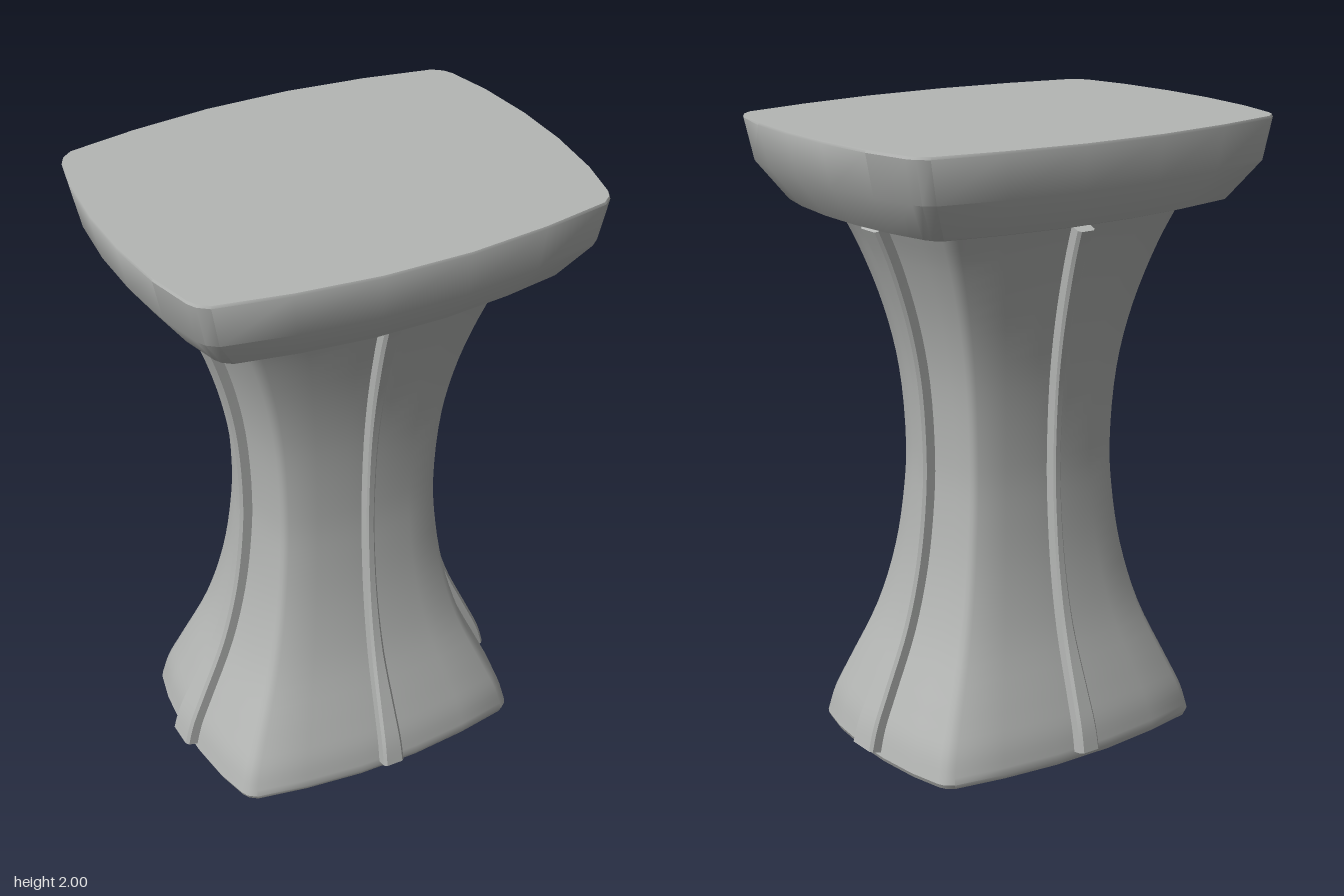
import * as THREE from 'three';
import { toCreasedNormals } from 'three/addons/utils/BufferGeometryUtils.js';

// One quarter of the bowed rectangle, in units of half width and half depth
const QUARTER = [[1, 0.17], [0.972, 0.52], [0.925, 0.78], [0.905, 0.83], [0.86, 0.875], [0.552, 0.95], [0.193, 1]];
const mirrored = [...QUARTER].reverse();
const OUTLINE = [
  ...QUARTER,
  ...mirrored.map(([x, z]) => [-x, z]),
  ...QUARTER.map(([x, z]) => [-x, -z]),
  ...mirrored.map(([x, z]) => [x, -z]),
];

// Skin a stack of rings (bottom to top, each turning from +x to +z) and cap both ends
function loft(rings, crease) {
  const n = rings[0].length;
  const pos = rings.flat(2);
  const index = [];
  for (let r = 0; r < rings.length - 1; r++) {
    for (let i = 0; i < n; i++) {
      const a = r * n + i, b = r * n + (i + 1) % n;
      index.push(a, a + n, b, b, a + n, b + n);
    }
  }
  for (const r of [0, rings.length - 1]) {
    const c = pos.length / 3;
    for (let k = 0; k < 3; k++) pos.push(rings[r].reduce((s, p) => s + p[k], 0) / n);
    for (let i = 0; i < n; i++) {
      const a = r * n + i, b = r * n + (i + 1) % n;
      if (r === 0) index.push(c, a, b);
      else index.push(c, b, a);
    }
  }
  const g = new THREE.BufferGeometry();
  g.setAttribute('position', new THREE.Float32BufferAttribute(pos, 3));
  g.setIndex(index);
  return toCreasedNormals(g, crease);
}

const slab = (w, d, y) => OUTLINE.map(([x, z]) => [x * w, y, z * d]);

export function createModel() {
  const group = new THREE.Group();
  const grey = new THREE.MeshStandardMaterial({ color: 0xb4b6b4 });
  grey.name = 'warm grey';
  const add = (name, geometry) => {
    const mesh = new THREE.Mesh(geometry, grey);
    mesh.name = name;
    group.add(mesh);
    return mesh;
  };

  // Seat: a tapered slab with softened rims
  add('seat', loft([
    slab(0.592, 0.463, 1.737), slab(0.608, 0.478, 1.742),
    slab(0.693, 0.563, 1.86), slab(0.723, 0.576, 1.992), slab(0.72, 0.573, 2),
  ], 0.6));

  // Waisted pedestal: half width against height
  const DEPTH = 0.768;
  const profile = new THREE.CatmullRomCurve3([
    [0.54, 0.015], [0.517, 0.1], [0.473, 0.2], [0.385, 0.4], [0.33, 0.6], [0.302, 0.8],
    [0.295, 0.95], [0.312, 1.2], [0.354, 1.4], [0.423, 1.6], [0.49, 1.745],
  ].map(([w, y]) => new THREE.Vector3(w, y, 0)));
  const rings = profile.getPoints(40).map((p) => slab(p.x, p.x * DEPTH, p.y));
  rings.unshift(slab(0.533, 0.533 * DEPTH, 0));
  add('pedestal', loft(rings, 0.6));

  // Bevelled rib following the pedestal profile, widening toward both ends
  function ribGeometry(scale, waistHalf, endHalf) {
    const STEPS = 40, ribRings = [];
    for (let s = 0; s <= STEPS; s++) {
      const u = 0.014 + 0.966 * s / STEPS;
      const p = profile.getPoint(u), t = profile.getTangent(u);
      const slope = scale * t.x / t.y, len = Math.hypot(1, slope);
      const h = waistHalf + (endHalf - waistHalf) * (p.x - 0.295) / 0.22;
      const b = Math.min(0.009, h * 0.4);
      const section = [[0.04, -h + b], [0.04, h - b], [0.04 - b, h], [-0.025, h], [-0.025, -h], [0.04 - b, -h]];
      ribRings.push(section.map(([o, z]) => [p.x * scale + o / len, p.y - o * slope / len, z]));
    }
    return loft(ribRings, 0.6);
  }
  const sideRib = ribGeometry(1, 0.021, 0.052);
  const faceRib = ribGeometry(DEPTH, 0.014, 0.035);
  add('leftRib', sideRib);
  add('rightRib', sideRib).rotation.y = Math.PI;
  add('frontRib', faceRib).rotation.y = -Math.PI / 2;
  add('backRib', faceRib).rotation.y = Math.PI / 2;

  return group;
}
